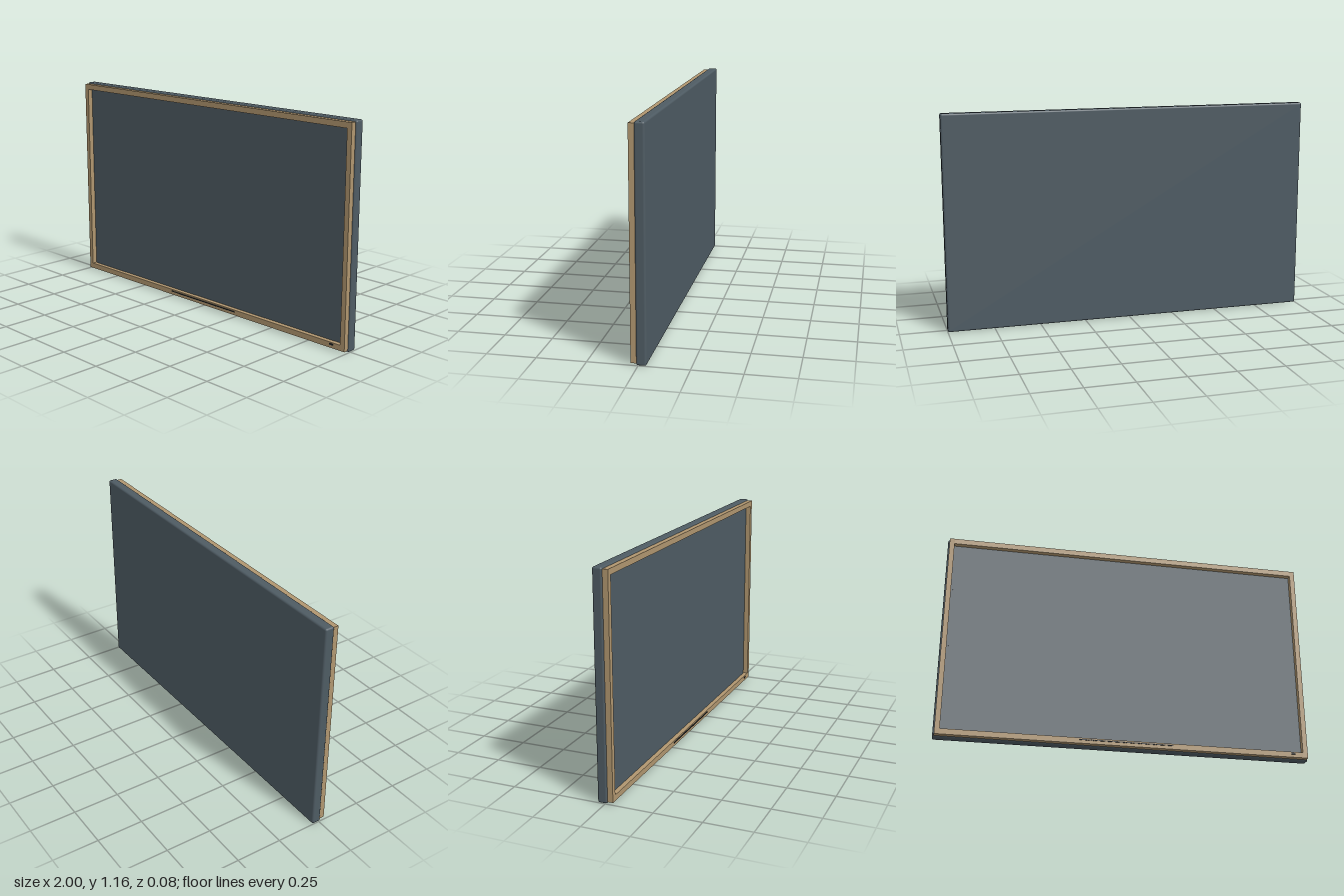
import * as THREE from 'three';
import { RoundedBoxGeometry } from 'three/addons/geometries/RoundedBoxGeometry.js';

export function createModel() {
  const model = new THREE.Group();
  model.name = 'wallDisplay';

  const slate = new THREE.MeshStandardMaterial({ name: 'slate', color: 0x4e5b63 });
  const tan = new THREE.MeshStandardMaterial({ name: 'tan', color: 0xb0966f });
  const dark = new THREE.MeshStandardMaterial({ name: 'dark', color: 0x24292d });

  function add(name, geometry, material, x, y, z, parent = model) {
    const mesh = new THREE.Mesh(geometry, material);
    mesh.name = name;
    mesh.position.set(x, y, z);
    parent.add(mesh);
    return mesh;
  }

  // Rounded rear housing
  add('housing', new RoundedBoxGeometry(2, 1.158, 0.05, 3, 0.01), slate, 0, 0.579, -0.015);

  // Screen panel recessed inside the frame
  add('screen', new THREE.BoxGeometry(1.91, 1.08, 0.004), slate, 0, 0.578, 0.011);

  // Four frame bars: the uprights run full height, the rails fit between them
  const frame = new THREE.Group();
  frame.name = 'frame';
  model.add(frame);
  const depth = 0.033, frameZ = 0.0215;
  for (const side of [-1, 1]) {
    add(side > 0 ? 'leftUpright' : 'rightUpright',
      new THREE.BoxGeometry(0.027, 1.142, depth), tan, side * 0.9785, 0.579, frameZ, frame);
    add(side > 0 ? 'topRail' : 'bottomRail',
      new THREE.BoxGeometry(1.93, 0.03, depth), tan, 0, 0.579 + side * 0.556, frameZ, frame);
  }

  // Row of speaker slots on the bottom rail
  const speaker = new THREE.Group();
  speaker.name = 'speakerSlots';
  model.add(speaker);
  const slot = new THREE.BoxGeometry(0.018, 0.005, 0.006);
  for (let i = 0; i < 25; i++) {
    add('speakerSlot', slot, dark, -0.24 + i * 0.02, 0.028, 0.039, speaker);
  }

  // Small power indicator near the lower left corner
  add('powerIndicator', new THREE.BoxGeometry(0.022, 0.008, 0.006), dark, 0.91, 0.028, 0.039);

  return model;
}
